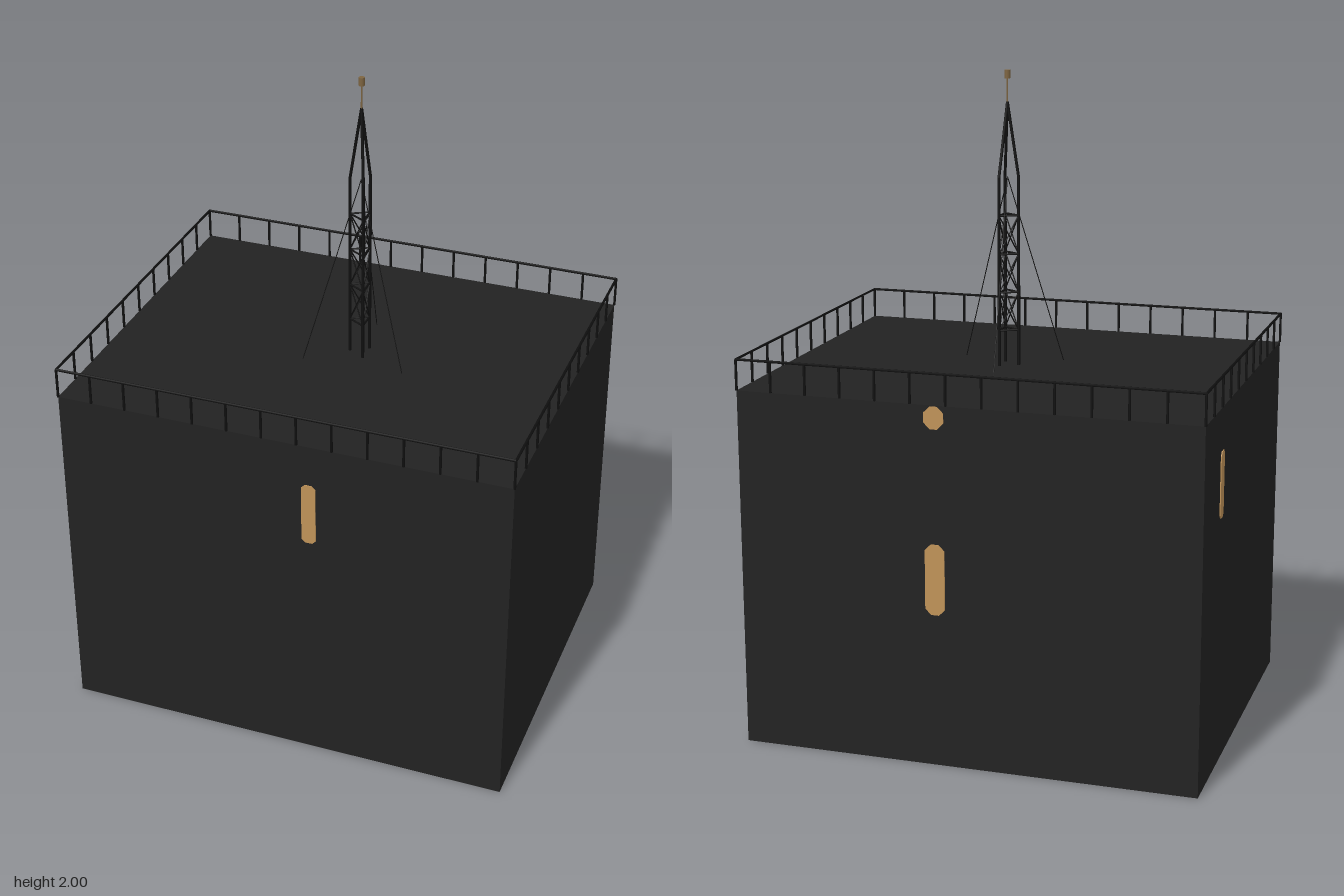
import * as THREE from 'three';

const mat = (name, color, side = THREE.FrontSide) => {
  const m = new THREE.MeshStandardMaterial({ color, side });
  m.name = name;
  return m;
};

export function createModel() {
  const wall = mat('dark wall', 0x222222);
  const iron = mat('black iron', 0x0f0f0f);
  const glow = mat('warm window', 0xbf9258);
  const brass = mat('beacon brass', 0x7d6440);

  const model = new THREE.Group();
  const W = 0.7, D = 0.56, ROOF = 1.1, RAIL = 1.193;
  const V = (x, y, z) => new THREE.Vector3(x, y, z);

  const group = (name) => {
    const g = new THREE.Group();
    g.name = name;
    model.add(g);
    return g;
  };

  // Round bar between two points
  const bar = (parent, name, a, b, r, material = iron, sides = 6) => {
    const dir = b.clone().sub(a);
    const mesh = new THREE.Mesh(new THREE.CylinderGeometry(r, r, dir.length(), sides), material);
    mesh.name = name;
    mesh.position.copy(a).add(b).multiplyScalar(0.5);
    mesh.quaternion.setFromUnitVectors(V(0, 1, 0), dir.normalize());
    parent.add(mesh);
  };

  // Building block
  const block = new THREE.Mesh(new THREE.BoxGeometry(2 * W, ROOF, 2 * D), wall);
  block.name = 'building';
  block.position.y = ROOF / 2;
  model.add(block);

  // Lit windows: thin plates with clipped corners
  const windows = group('windows');
  const addWindow = (name, w, y0, y1, c, x, z, turn) => {
    const h = (y1 - y0) / 2, a = w / 2;
    const shape = new THREE.Shape([
      [-a + c, -h], [a - c, -h], [a, -h + c], [a, h - c],
      [a - c, h], [-a + c, h], [-a, h - c], [-a, -h + c],
    ].map(([px, py]) => new THREE.Vector2(px, py)));
    const geo = new THREE.ExtrudeGeometry(shape, { depth: 0.003, bevelEnabled: false });
    const mesh = new THREE.Mesh(geo, glow);
    mesh.name = name;
    mesh.position.set(x, (y0 + y1) / 2, z);
    mesh.rotation.y = turn;
    windows.add(mesh);
  };
  addWindow('frontWindow', 0.044, 0.77, 0.97, 0.011, 0.09, D, 0);
  addWindow('rightHandWindow', 0.044, 0.77, 0.97, 0.011, -W, -0.325, -Math.PI / 2);
  addWindow('backWindow', 0.06, 0.47, 0.685, 0.018, 0.09, -D, Math.PI);
  addWindow('backRoundWindow', 0.06, 1.03, 1.097, 0.019, 0.09, -D, Math.PI);

  // Roof railing: posts and a top rail on all four sides
  const railing = group('railing');
  for (const s of [-1, 1]) {
    for (let i = 0; i <= 13; i++) {
      const x = -W + (2 * W * i) / 13;
      bar(railing, 'railPost', V(x, ROOF, s * D), V(x, RAIL, s * D), 0.004);
    }
    for (let i = 1; i < 10; i++) {
      const z = -D + (2 * D * i) / 10;
      bar(railing, 'railPost', V(s * W, ROOF, z), V(s * W, RAIL, z), 0.004);
    }
    bar(railing, 'topRail', V(-W, RAIL, s * D), V(W, RAIL, s * D), 0.004);
    bar(railing, 'topRail', V(s * W, RAIL, -D), V(s * W, RAIL, D), 0.004);
  }

  // Three-legged lattice mast
  const mast = group('mast');
  const CX = 0.045, R = 0.035, SHOULDER = 1.68;
  const apex = V(CX, 1.905, 0);
  const leg = (i, y) => {
    const t = Math.PI + (i * 2 * Math.PI) / 3;
    return V(CX + R * Math.cos(t), y, R * Math.sin(t));
  };
  const levels = [1.21, 1.328, 1.446, 1.564];
  for (let i = 0; i < 3; i++) {
    bar(mast, 'mastLeg', leg(i, ROOF), leg(i, SHOULDER), 0.005);
    bar(mast, 'mastTaper', leg(i, SHOULDER), apex, 0.0045);
    levels.forEach((y, k) => {
      bar(mast, 'mastRing', leg(i, y), leg(i + 1, y), 0.003);
      if (k < 3) {
        bar(mast, 'mastBrace', leg(i, y), leg(i + 1, levels[k + 1]), 0.002);
        bar(mast, 'mastBrace', leg(i + 1, y), leg(i, levels[k + 1]), 0.002);
      }
    });
  }

  // Guy wires
  const wires = group('guyWires');
  for (const [x, z] of [[-0.105, 0.1], [0.205, 0.078], [0.034, -0.178]]) {
    bar(wires, 'guyWire', V(CX, SHOULDER, 0), V(x, ROOF, z), 0.0015, iron, 5);
  }

  // Spike and beacon
  bar(mast, 'spike', V(CX, 1.895, 0), V(CX, 1.98, 0), 0.0025, brass);
  bar(mast, 'beacon', V(CX, 1.975, 0), V(CX, 2, 0), 0.009, brass, 10);

  return model;
}
